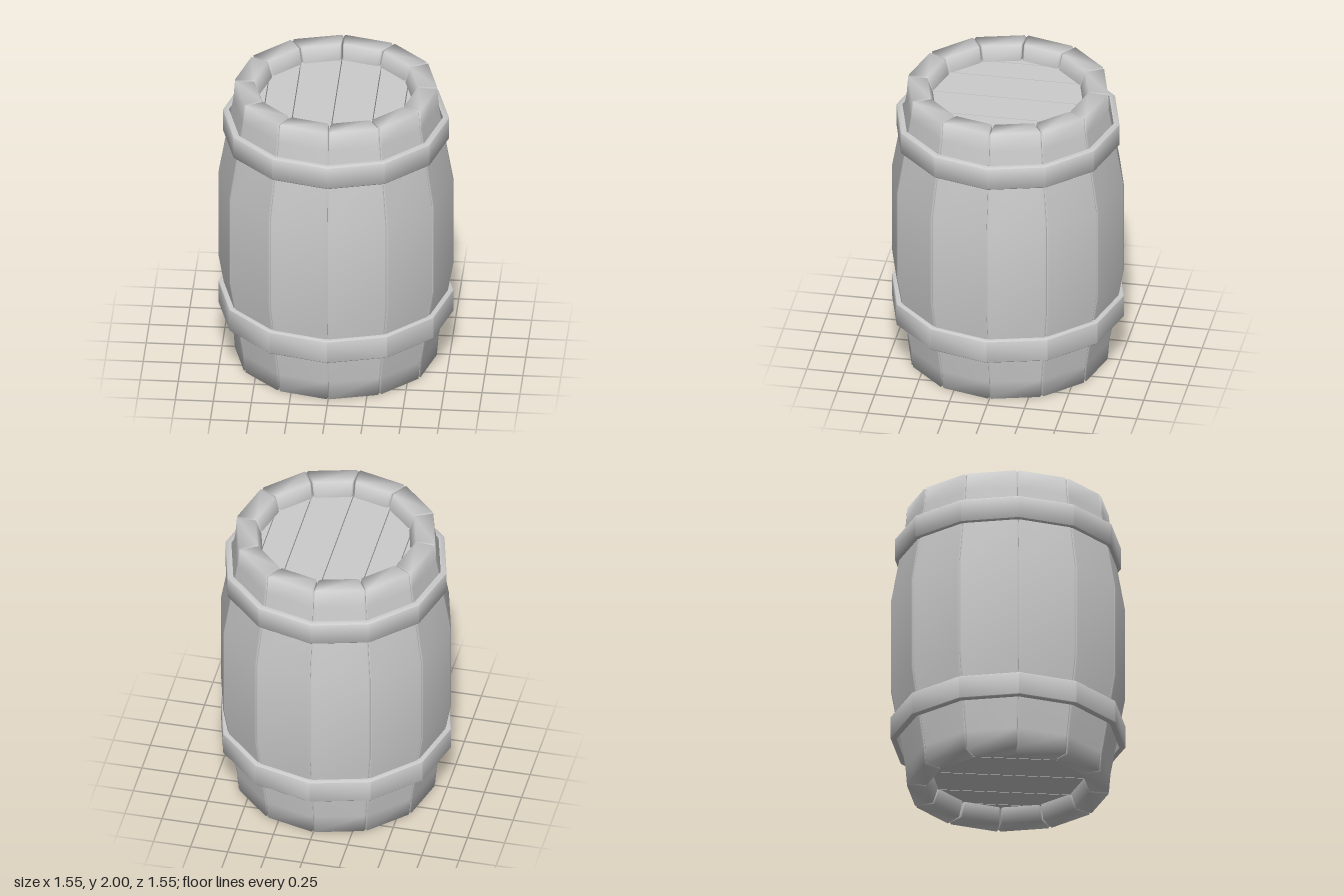
import * as THREE from 'three';
import { toCreasedNormals } from 'three/addons/utils/BufferGeometryUtils.js';

const SIDES = 12;
const STEP = (Math.PI * 2) / SIDES;
const material = new THREE.MeshStandardMaterial({ color: 0xcccccc });

// Stave profile as [corner radius, height], outer face then inner face, bottom to top
const OUTER = [[0.668, 0], [0.678, 0.13], [0.775, 0.68], [0.775, 1.32], [0.678, 1.87], [0.668, 2]];
const INNER = [[0.54, 0], [0.495, 0.12], [0.6, 0.68], [0.6, 1.32], [0.495, 1.88], [0.54, 2]];

// One bowed stave facing +z, with narrow chamfers along both long sides
function staveGeometry() {
  const n = OUTER.length;
  const loop = [...OUTER, ...INNER.slice().reverse()];
  const positions = [];
  const index = [];
  const half = STEP / 2;
  const quad = (a, b, c, d) => index.push(a, b, c, a, c, d);

  const addPoint = (k, side, edge) => {
    let [r, y] = loop[k];
    const width = r * Math.sin(half) - (edge ? 0.003 : 0.013);
    if (edge) {
      r += k < n ? -0.009 : 0.009;
      y = THREE.MathUtils.clamp(y, 0.009, 1.991);
    }
    positions.push(side * width, y, r * Math.cos(half));
  };

  // Skin: four columns across the stave, wrapped around the closed profile
  for (let k = 0; k < loop.length; k++) {
    addPoint(k, -1, true);
    addPoint(k, -1, false);
    addPoint(k, 1, false);
    addPoint(k, 1, true);
  }
  for (let k = 0; k < loop.length; k++) {
    const next = (k + 1) % loop.length;
    for (let c = 0; c < 3; c++) quad(k * 4 + c, k * 4 + c + 1, next * 4 + c + 1, next * 4 + c);
  }

  // Flat sides with their own vertices, so the edges stay sharp
  for (const side of [-1, 1]) {
    const base = positions.length / 3;
    for (let k = 0; k < loop.length; k++) addPoint(k, side, true);
    for (let k = 0; k < n - 1; k++) {
      const o = base + k;
      const i = base + loop.length - 1 - k;
      if (side > 0) quad(o, i, i - 1, o + 1);
      else quad(o, o + 1, i - 1, i);
    }
  }

  const geometry = new THREE.BufferGeometry();
  geometry.setAttribute('position', new THREE.Float32BufferAttribute(positions, 3));
  geometry.setIndex(index);
  geometry.computeVertexNormals();
  return geometry;
}

// Twelve-sided band with slightly eased rims
function hoopGeometry(radius, bottom, top) {
  const inner = radius - 0.04;
  const e = 0.005;
  const profile = [
    [inner, bottom], [radius - e, bottom], [radius, bottom + e],
    [radius, top - e], [radius - e, top], [inner, top], [inner, bottom],
  ].map(([r, y]) => new THREE.Vector2(r, y));
  return toCreasedNormals(new THREE.LatheGeometry(profile, SIDES), 0.85);
}

// Round head cut into straight planks running front to back
function createHead(name, y) {
  const head = new THREE.Group();
  head.name = name;
  const radius = 0.53;
  const gap = 0.003;
  for (let i = -3; i < 3; i++) {
    const x0 = radius * Math.sin(i * STEP) + gap;
    const x1 = radius * Math.sin((i + 1) * STEP) - gap;
    const z0 = radius * Math.cos(i * STEP);
    const z1 = radius * Math.cos((i + 1) * STEP);
    const shape = new THREE.Shape([
      new THREE.Vector2(x0, -z0), new THREE.Vector2(x1, -z1),
      new THREE.Vector2(x1, z1), new THREE.Vector2(x0, z0),
    ]);
    const geometry = new THREE.ExtrudeGeometry(shape, { depth: 0.05, bevelEnabled: false });
    geometry.rotateX(-Math.PI / 2);
    const plank = new THREE.Mesh(geometry, material);
    plank.name = 'headPlank';
    head.add(plank);
  }
  head.position.y = y;
  return head;
}

export function createModel() {
  const barrel = new THREE.Group();
  barrel.name = 'barrel';

  // Body staves
  const staves = new THREE.Group();
  staves.name = 'staves';
  const geometry = staveGeometry();
  for (let i = 0; i < SIDES; i++) {
    const stave = new THREE.Mesh(geometry, material);
    stave.name = 'stave';
    stave.rotation.y = (i + 0.5) * STEP;
    staves.add(stave);
  }
  barrel.add(staves);

  // Hoops
  for (const [name, radius, bottom, top] of [
    ['lowerHoop', 0.775, 0.33, 0.49],
    ['upperHoop', 0.745, 1.62, 1.78],
  ]) {
    const hoop = new THREE.Mesh(hoopGeometry(radius, bottom, top), material);
    hoop.name = name;
    barrel.add(hoop);
  }

  // Recessed heads
  barrel.add(createHead('topHead', 1.85), createHead('bottomHead', 0.1));
  return barrel;
}
